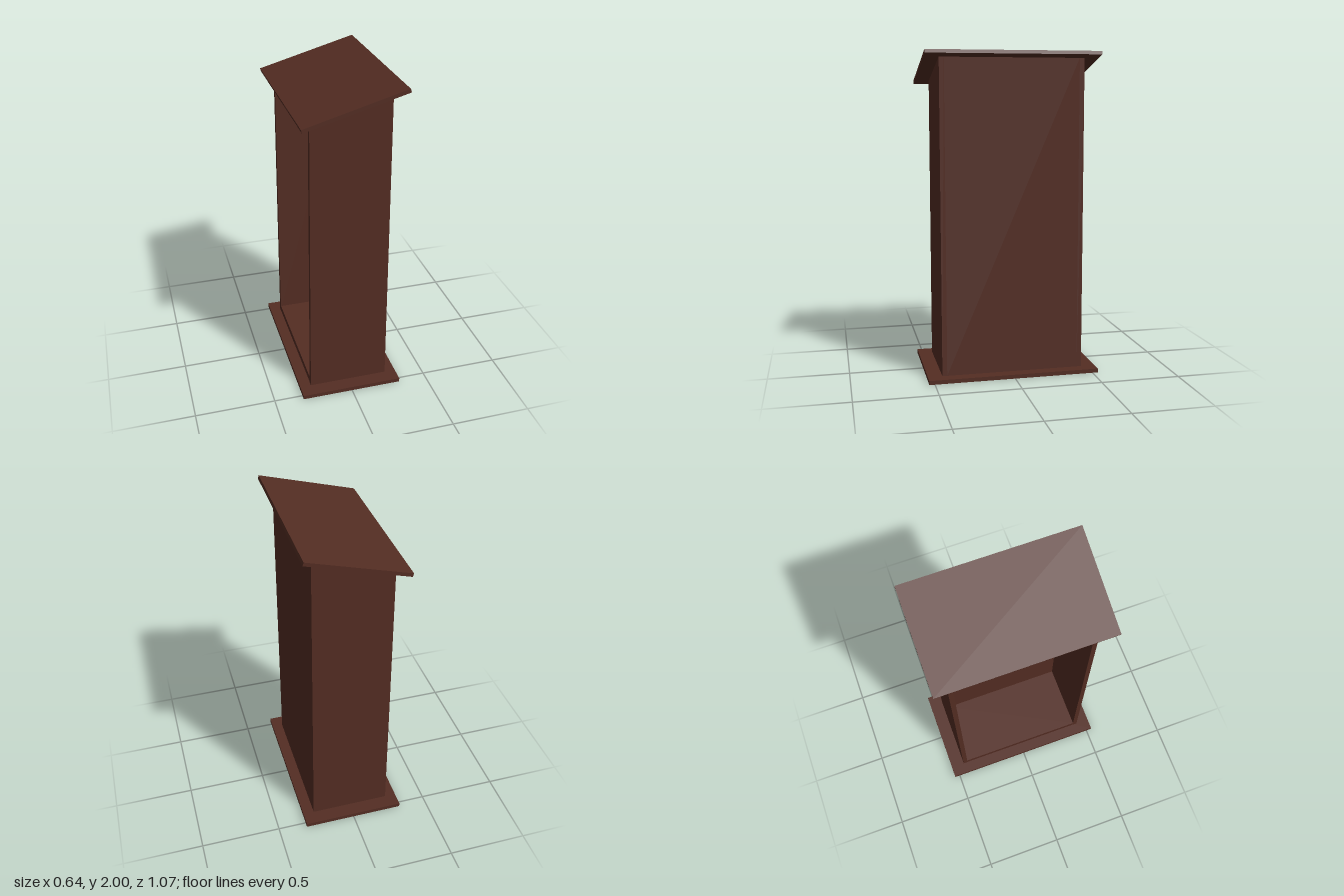
import * as THREE from 'three';

export function createModel() {
  const model = new THREE.Group();
  const wood = new THREE.MeshStandardMaterial({ color: 0x542d23 });
  wood.name = 'dark brown wood';

  const HALF_Z = 0.445, SIDE = 0.03, BASE = 0.025;
  const slope = 0.279;
  const underside = (x) => 1.8935 + slope * x; // height of the sloping top's lower face

  const add = (name, geometry, x = 0, y = 0, z = 0) => {
    const mesh = new THREE.Mesh(geometry, wood);
    mesh.name = name;
    mesh.position.set(x, y, z);
    model.add(mesh);
    return mesh;
  };

  // Board with an outline in the x-y plane, centred on z
  const board = (name, points, width, z = 0) => {
    const shape = new THREE.Shape(points.map(([x, y]) => new THREE.Vector2(x, y)));
    const geometry = new THREE.ExtrudeGeometry(shape, { depth: width, bevelEnabled: false });
    geometry.translate(0, 0, -width / 2);
    return add(name, geometry, 0, 0, z);
  };

  // Base plate
  add('basePlate', new THREE.BoxGeometry(0.64, BASE, 1.07), 0, BASE / 2, 0);

  // Two slightly tapered side panels with slanted tops
  const outline = [[-0.25, BASE], [0.25, BASE], [0.24, underside(0.24)], [-0.24, underside(-0.24)]];
  for (const s of [1, -1]) {
    board(s > 0 ? 'frontSidePanel' : 'backSidePanel', outline, SIDE, s * (HALF_Z - SIDE / 2));
  }

  // Closed panel on the tall side
  board('tallPanel',
    [[0.185, BASE], [0.25, BASE], [0.24, underside(0.24)], [0.185, underside(0.185)]],
    2 * (HALF_Z - SIDE));

  // Raised floor inside the open compartment
  add('compartmentFloor', new THREE.BoxGeometry(0.434, 0.042, 2 * (HALF_Z - SIDE)), -0.032, BASE + 0.021, 0);

  // Sloping reading top
  board('slopingTop', [[-0.302, 1.809], [0.308, 1.979], [0.302, 2.0], [-0.308, 1.83]], 1.07);

  return model;
}
